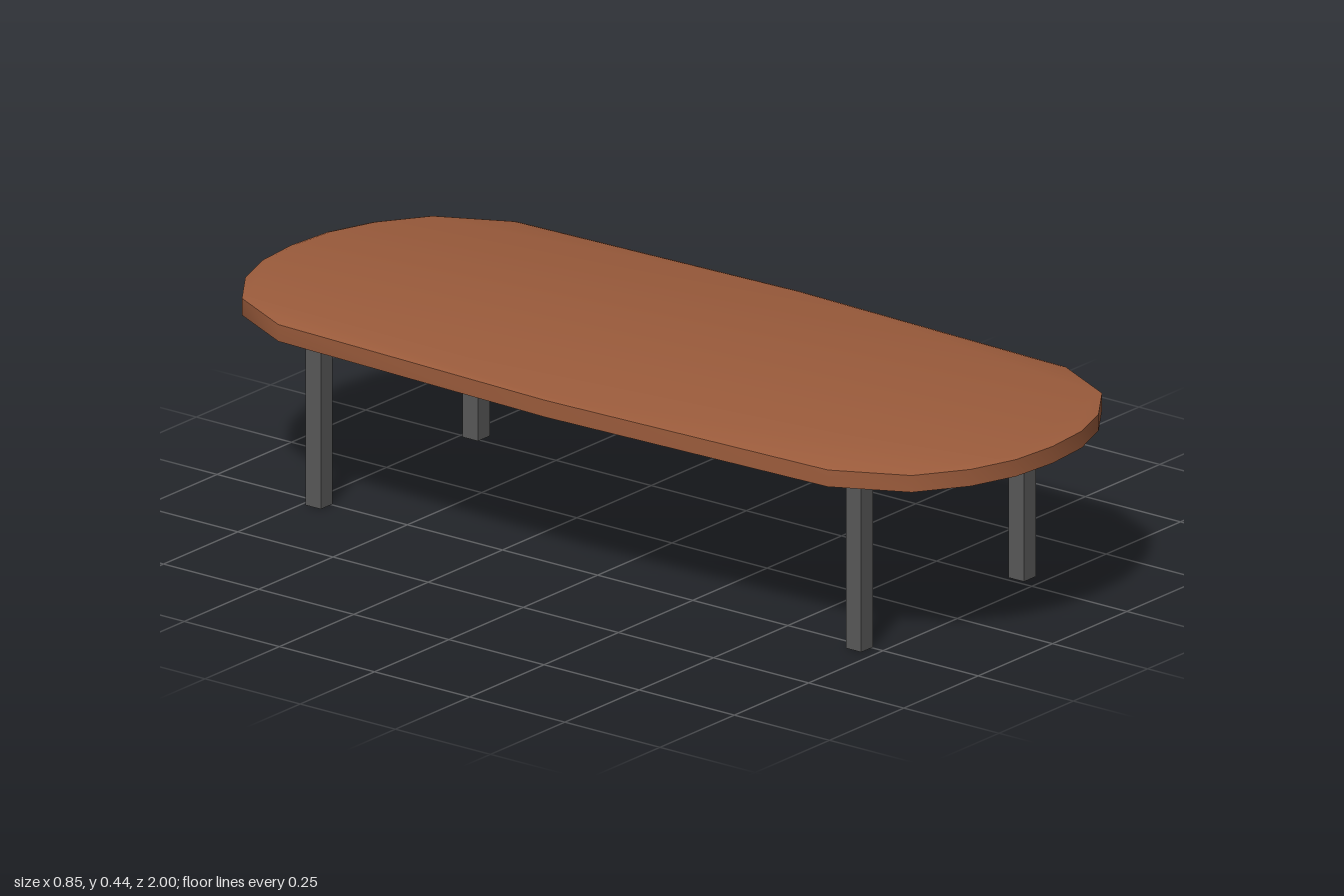
import * as THREE from 'three';
import { toCreasedNormals } from 'three/addons/utils/BufferGeometryUtils.js';

export function createModel() {
  const wood = new THREE.MeshStandardMaterial({ color: 0x9c5c3c });
  wood.name = 'brown wood';
  const metal = new THREE.MeshStandardMaterial({ color: 0x585858 });
  metal.name = 'dark grey metal';

  const table = new THREE.Group();
  table.name = 'table';

  // Tabletop: a quarter outline mirrored into a full oval, with softened rims
  const quarter = [[0.425, 0], [0.4, 0.722], [0.32, 0.88], [0.215, 0.953], [0.11, 0.99], [0, 1]];
  const half = [...quarter, ...quarter.slice(0, -1).reverse().map(([x, z]) => [-x, z])];
  const outline = [...half, ...half.slice(1, -1).map(([x, z]) => [-x, -z])];
  const shape = new THREE.Shape(outline.map(([x, z]) => new THREE.Vector2(x, z)));
  const slab = new THREE.ExtrudeGeometry(shape, {
    depth: 0.037, bevelThickness: 0.004, bevelSize: 0.012, bevelOffset: -0.012, bevelSegments: 1,
  });
  slab.rotateX(-Math.PI / 2).translate(0, 0.397, 0);
  const top = new THREE.Mesh(toCreasedNormals(slab, 0.7), wood);
  top.name = 'tabletop';
  table.add(top);

  // Four square legs, set slightly unevenly
  const legHeight = 0.396;
  const legGeometry = new THREE.BoxGeometry(0.04, legHeight, 0.04);
  const legs = [
    ['frontLeftLeg', 0.282, 0.7],
    ['frontRightLeg', -0.265, 0.7],
    ['backLeftLeg', 0.263, -0.72],
    ['backRightLeg', -0.265, -0.72],
  ];
  for (const [name, x, z] of legs) {
    const leg = new THREE.Mesh(legGeometry, metal);
    leg.name = name;
    leg.position.set(x, legHeight / 2, z);
    table.add(leg);
  }
  return table;
}
